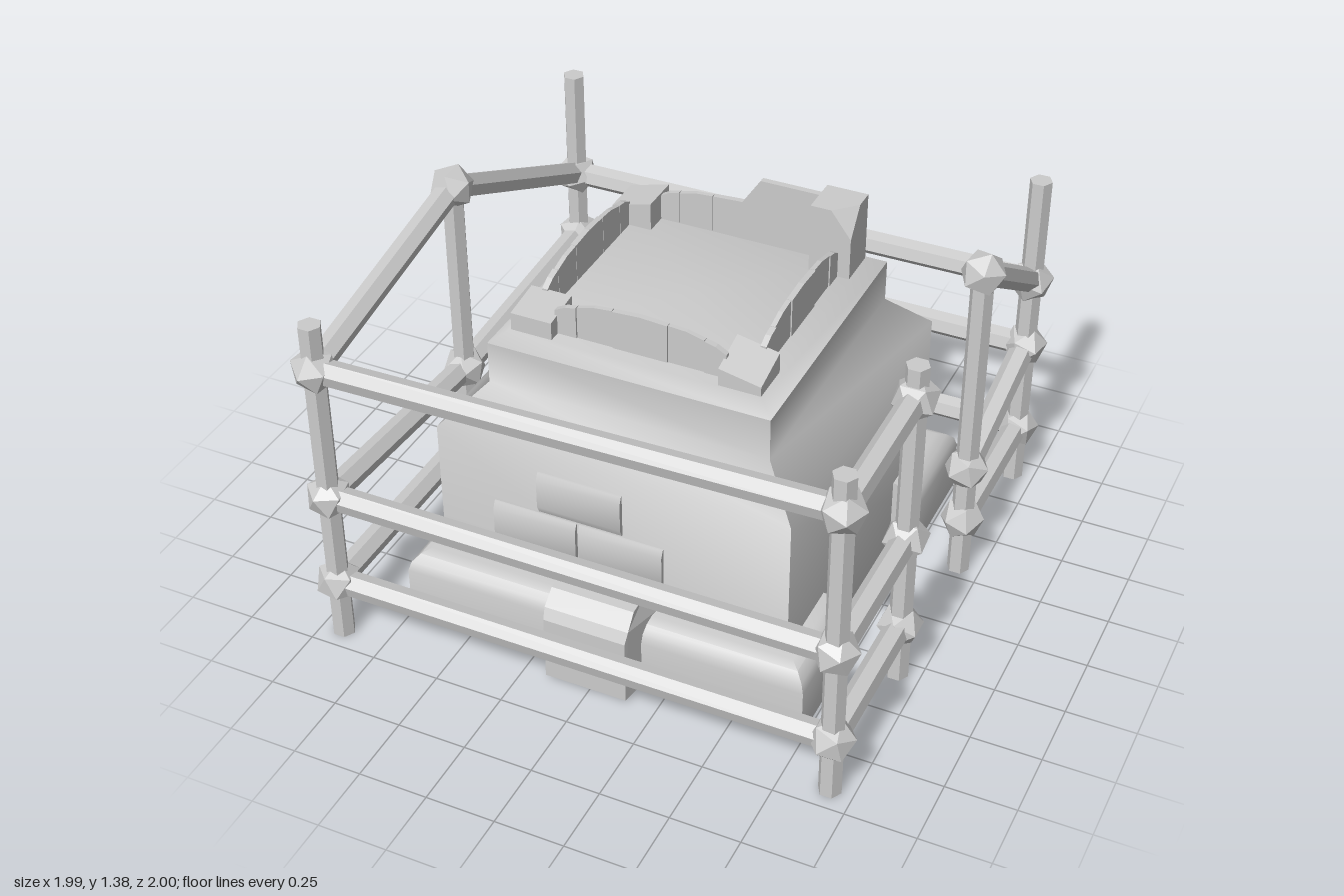
import * as THREE from 'three';
import { toCreasedNormals } from 'three/addons/utils/BufferGeometryUtils.js';

const faceted = new THREE.MeshStandardMaterial({ color: 0xcccccc, flatShading: true, side: THREE.DoubleSide });
const smooth = new THREE.MeshStandardMaterial({ color: 0xcccccc, side: THREE.DoubleSide });

function add(parent, name, geometry, material = faceted) {
  const mesh = new THREE.Mesh(geometry, material);
  mesh.name = name;
  parent.add(mesh);
  return mesh;
}

// Upright slab: outline in x/y, running from z0 to z1
function slab(points, z0, z1) {
  const shape = new THREE.Shape(points.map(([x, y]) => new THREE.Vector2(x, y)));
  const g = new THREE.ExtrudeGeometry(shape, { depth: z1 - z0, bevelEnabled: false });
  return g.translate(0, 0, z0);
}

// Hexagonal bar between two points, twisted about its own axis
function bar(a, b, radius, twist) {
  const dir = b.clone().sub(a);
  const g = new THREE.CylinderGeometry(radius, radius, dir.length(), 6).rotateY(twist);
  g.applyQuaternion(new THREE.Quaternion().setFromUnitVectors(new THREE.Vector3(0, 1, 0), dir.normalize()));
  return g.translate(...a.clone().add(b).multiplyScalar(0.5).toArray());
}

// Square tower with a hollow room open underneath
function towerGeometry() {
  const profile = [[0, 0.87], [0.55, 0.87], [0.55, 0.015], [0.645, 0.015], [0.645, 0.79], [0.51, 0.93],
    [0.51, 1.085], [0.455, 1.12], [0, 1.12]];
  const pts = profile.map(([h, y]) => new THREE.Vector2(h * Math.SQRT2, y));
  return toCreasedNormals(new THREE.LatheGeometry(pts, 4, Math.PI / 4), 0.8);
}

// Round-topped plinth swept round the tower, open at the doorway side (+x)
function plinthGeometry() {
  const profile = [[0.55, 0.015], [0.745, 0.015], [0.745, 0.2], [0.735, 0.235], [0.71, 0.262], [0.68, 0.277], [0.6, 0.28]];
  const gap = 0.33, n = profile.length, pos = [], index = [];
  const stations = [[1, gap], [1, 1], [-1, 1], [-1, -1], [1, -1], [1, -gap]];
  stations.forEach(([sx, sz]) => profile.forEach(([h, y]) =>
    pos.push(sx * h, y, Math.abs(sz) === 1 ? sz * h : sz)));
  for (let s = 0; s < stations.length - 1; s++) {
    for (let i = 0; i < n - 1; i++) {
      const a = s * n + i, b = a + n;
      index.push(a, a + 1, b, a + 1, b + 1, b);
    }
  }
  // End caps beside the doorway
  const last = (stations.length - 1) * n;
  for (let i = 1; i < n - 1; i++) index.push(0, i + 1, i, last, last + i, last + i + 1);
  const g = new THREE.BufferGeometry();
  g.setAttribute('position', new THREE.Float32BufferAttribute(pos, 3));
  g.setIndex(index);
  return toCreasedNormals(g, 0.8);
}

// Buttress, flaring towards the wall and narrowing at the top
function buttressGeometry() {
  const g = slab([[0.6, 0.015], [0.84, 0.015], [0.84, 0.265], [0.82, 0.305], [0.77, 0.355], [0.7, 0.36],
    [0.6, 0.36], [0.6, 0.27]], -1, 1);
  g.rotateY(-Math.PI / 2);
  const p = g.attributes.position;
  for (let i = 0; i < p.count; i++) {
    const flare = THREE.MathUtils.clamp((0.84 - p.getZ(i)) / 0.12, 0, 1);
    const narrowing = THREE.MathUtils.clamp((p.getY(i) - 0.27) / 0.09, 0, 1);
    p.setX(i, p.getX(i) * (0.152 + 0.035 * flare * (1 - narrowing)));
  }
  return g;
}

// Brick with softened upper and lower edges, standing proud of the wall
function brickGeometry(x, y) {
  const g = slab([[0.63, -0.085], [0.65, -0.082], [0.662, -0.055], [0.662, 0.055], [0.65, 0.082], [0.63, 0.085]], -0.155, 0.155);
  return toCreasedNormals(g.rotateY(-Math.PI / 2).translate(x, y, 0), 1);
}

// Corner block; top(u, v) gives the height, with u and v from -1 to 1 across it
function cornerBlock(x, z, top) {
  const g = new THREE.BoxGeometry(0.15, 1, 0.15, 2, 1, 2);
  const p = g.attributes.position;
  for (let i = 0; i < p.count; i++) {
    p.setY(i, p.getY(i) > 0 ? top(p.getX(i) / 0.075, p.getZ(i) / 0.075) : 1.1);
  }
  return g.translate(x, 0, z);
}

function createTower() {
  const tower = new THREE.Group();
  tower.name = 'tower';
  add(tower, 'towerBody', towerGeometry(), smooth);
  add(tower, 'plinth', plinthGeometry(), smooth);

  // Buttress and raised bricks on front, side and back walls
  const walls = [
    { name: 'front', turn: 0, bricks: [[-0.28, 0.465], [0.04, 0.465], [-0.11, 0.64]] },
    { name: 'side', turn: -Math.PI / 2, bricks: [[-0.25, 0.465], [0.07, 0.465], [0.24, 0.64]] },
    { name: 'back', turn: Math.PI, bricks: [[0.26, 0.465], [-0.06, 0.465], [0.1, 0.64]] },
  ];
  walls.forEach(({ name, turn, bricks }) => {
    const wall = new THREE.Group();
    wall.name = name + 'WallDetails';
    wall.rotation.y = turn;
    add(wall, 'buttress', buttressGeometry()).position.x = -0.009 * Math.cos(turn);
    bricks.forEach(([x, y]) => add(wall, 'raisedBrick', brickGeometry(x, y), smooth));
    tower.add(wall);
  });

  // Thin arched parapet of separate stones on each side
  const edges = [-0.31, -0.23, -0.1, 0.1, 0.23, 0.31];
  const heights = [1.21, 1.237, 1.262, 1.262, 1.242, 1.21];
  for (let side = 0; side < 4; side++) {
    const parapet = new THREE.Group();
    parapet.name = 'parapet';
    parapet.rotation.y = side * Math.PI / 2;
    for (let i = 0; i < 5; i++) {
      const [a, b] = [edges[i] + 0.001, edges[i + 1] - 0.001];
      add(parapet, 'parapetStone', slab([[a, 1.1], [b, 1.1], [b, heights[i + 1]],
        [(a + b) / 2, (heights[i] + heights[i + 1]) / 2 + 0.006], [a, heights[i]]], 0.385, i % 2 ? 0.402 : 0.406));
    }
    tower.add(parapet);
  }
  add(tower, 'tallParapetPiece', slab([[0, 1.12], [0.31, 1.12], [0.31, 1.37], [0.08, 1.37], [0, 1.25]], -0.407, -0.384));

  // Broken corner blocks, the tall one chipped at its inner corner
  add(tower, 'tallCornerBlock', cornerBlock(0.375, -0.375, (u, v) => 1.375 - 0.1 * Math.max(0, u + v - 1)));
  add(tower, 'cornerBlock', cornerBlock(-0.375, -0.375, (u) => 1.205 + 0.02 * u));
  add(tower, 'cornerBlock', cornerBlock(-0.375, 0.375, (u, v) => 1.195 - 0.01 * v));
  add(tower, 'cornerBlock', cornerBlock(0.375, 0.375, (u, v) => 1.19 - 0.015 * u - 0.02 * v));
  return tower;
}

function createFence() {
  const fence = new THREE.Group();
  fence.name = 'fence';
  const c = 0.918;
  // Posts in order round the tower, with the heights of their three joints
  const posts = [
    { x: c, z: 0.31, top: 1.295, joints: [0.225, 0.6, 1.17] },
    { x: c, z: c, top: 1.295, joints: [0.23, 0.6, 1.16] },
    { x: -c, z: c, top: 1.295, joints: [0.23, 0.6, 1.12] },
    { x: -c, z: 0, top: 1.305, joints: [0.23, 0.54, 1.305] },
    { x: -c, z: -c, top: 1.295, joints: [0.23, 0.6, 0.87] },
    { x: c, z: -c, top: 1.295, joints: [0.23, 0.6, 0.88] },
    { x: c, z: -0.31, top: 1.27, joints: [0.23, 0.455, 1.27] },
  ];
  posts.forEach((post, i) => {
    const at = (p, y) => new THREE.Vector3(p.x, y, p.z);
    add(fence, 'post', bar(at(post, 0), at(post, post.top), 0.041, Math.PI / 6));
    post.joints.forEach((y, k) => {
      const joint = add(fence, 'joint', new THREE.IcosahedronGeometry(0.082, 0));
      joint.position.copy(at(post, y));
      joint.rotation.set(0.3 * k, 0.7 * i, 0.2 * i);
      const next = posts[i + 1];
      if (next) add(fence, 'rail', bar(at(post, y), at(next, next.joints[k]), 0.045, Math.PI / 12));
    });
  });
  return fence;
}

export function createModel() {
  const model = new THREE.Group();
  model.name = 'fencedTower';
  model.add(createTower(), createFence());
  return model;
}
